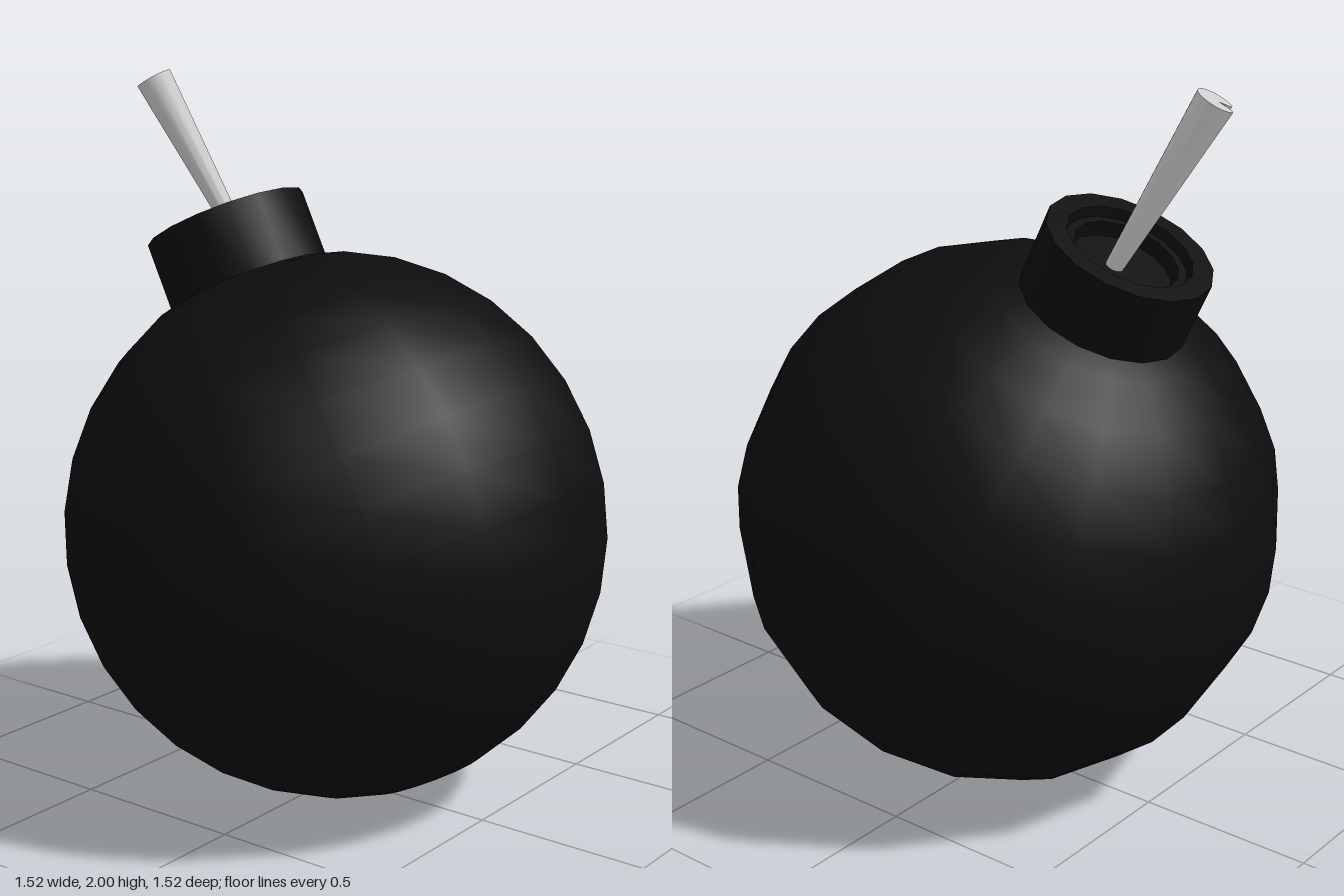
import * as THREE from 'three';
import { toCreasedNormals } from 'three/addons/utils/BufferGeometryUtils.js';

export function createModel() {
  const model = new THREE.Group();
  const black = new THREE.MeshStandardMaterial({ color: 0x0d0d0d });
  const grey = new THREE.MeshStandardMaterial({ color: 0xcccccc });
  const add = (parent, name, geometry, material) => {
    const mesh = new THREE.Mesh(geometry, material);
    mesh.name = name;
    parent.add(mesh);
    return mesh;
  };

  // Body and collar share one axis that leans to the back
  const shell = new THREE.Group();
  shell.name = 'shell';
  shell.position.y = 0.763;
  shell.rotation.x = THREE.MathUtils.degToRad(-25.7);
  model.add(shell);

  add(shell, 'body', new THREE.SphereGeometry(0.76, 16, 16), black);

  // Collar with a stepped recess around the fuse hole
  const profile = [
    [0.232, 0.66], [0.232, 0.917], [0.175, 0.917], [0.168, 0.89],
    [0.145, 0.89], [0.14, 0.85], [0, 0.85],
  ].map(([r, y]) => new THREE.Vector2(r, y));
  add(shell, 'collar', toCreasedNormals(new THREE.LatheGeometry(profile, 16), 0.6), black);

  // Fuse: a flaring rod with a groove that splits it into two lobes
  const base = new THREE.Vector3(0.017, 1.52, -0.352);
  const tip = new THREE.Vector3(-0.077, 1.975, -0.592);
  const axis = tip.clone().sub(base);
  const fuse = new THREE.CylinderGeometry(0.054, 0.024, axis.length(), 24, 1);
  const p = fuse.attributes.position;
  for (let i = 0; i < p.count; i++) {
    const angle = Math.abs(Math.atan2(p.getX(i), p.getZ(i)));
    const s = angle < 0.1 ? 0.15 : angle < 0.3 ? 0.85 : 1;
    p.setXYZ(i, p.getX(i) * s, p.getY(i), p.getZ(i) * s);
  }
  fuse.rotateY(Math.atan2(-0.6, -0.8));
  const fuseMesh = add(model, 'fuse', toCreasedNormals(fuse, 0.7), grey);
  fuseMesh.position.copy(base).lerp(tip, 0.5);
  fuseMesh.quaternion.setFromUnitVectors(new THREE.Vector3(0, 1, 0), axis.normalize());

  return model;
}
